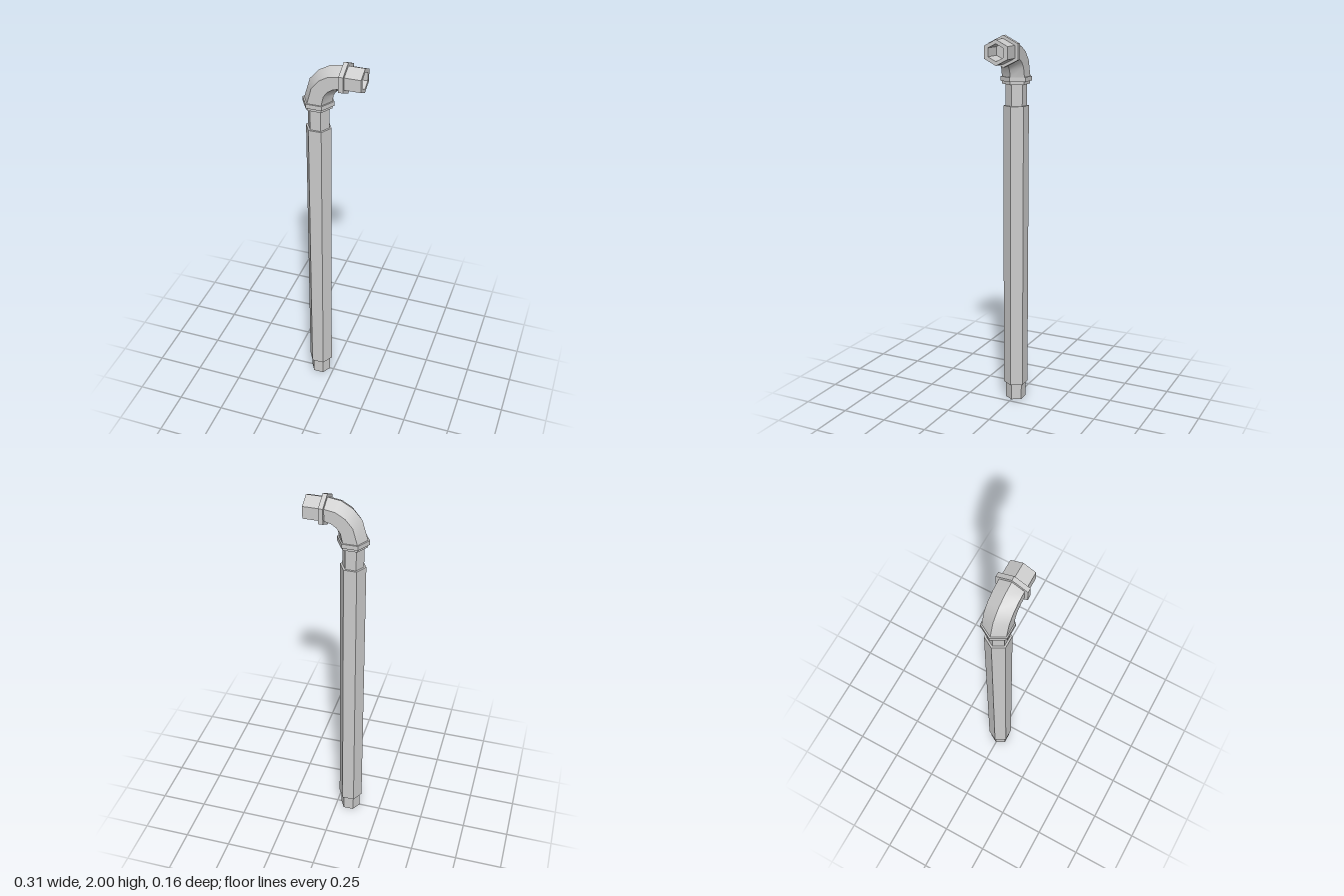
import * as THREE from 'three';
import { toCreasedNormals } from 'three/addons/utils/BufferGeometryUtils.js';

const PIPE_X = -0.077;   // axis of the upright
const OUTLET_Y = 1.92;   // axis of the outlet
const SIDES = 6;

const flat = new THREE.MeshStandardMaterial({ color: 0xcccccc, flatShading: true });
const creased = new THREE.MeshStandardMaterial({ color: 0xcccccc });

// Six-sided turned part from [radius, height] points, with corners on the x axis
function hexPart(name, profile) {
  const points = profile.map(([r, y]) => new THREE.Vector2(r, y));
  const mesh = new THREE.Mesh(new THREE.LatheGeometry(points, SIDES, Math.PI / 2), flat);
  mesh.name = name;
  return mesh;
}

// Solid six-sided prism
const hexPrism = (name, r, y0, y1) => hexPart(name, [[0, y0], [r, y0], [r, y1], [0, y1]]);

// Quarter bend lofted through hexagonal rings, from the upright to the outlet
function elbowGeometry() {
  const angles = [0, 30, 50, 70, 90].map(THREE.MathUtils.degToRad);
  const endX = 0.05, startY = 1.785;
  const positions = [], index = [];
  angles.forEach((a) => {
    const t = a / (Math.PI / 2);
    const cx = endX - (endX - PIPE_X) * Math.cos(a);
    const cy = startY + (OUTLET_Y - startY) * Math.sin(a);
    const radius = THREE.MathUtils.lerp(0.072, 0.0635, t);
    for (let i = 0; i < SIDES; i++) {
      const p = (i / SIDES) * Math.PI * 2;
      const out = radius * Math.cos(p);
      const side = (0.0635 / Math.sin(Math.PI / 3)) * Math.sin(p);
      positions.push(cx - out * Math.cos(a), cy + out * Math.sin(a), side);
    }
  });
  for (let r = 0; r < angles.length - 1; r++) {
    for (let i = 0; i < SIDES; i++) {
      const a = r * SIDES + i, b = r * SIDES + ((i + 1) % SIDES);
      index.push(a, b, b + SIDES, a, b + SIDES, a + SIDES);
    }
  }
  const geometry = new THREE.BufferGeometry();
  geometry.setAttribute('position', new THREE.Float32BufferAttribute(positions, 3));
  geometry.setIndex(index);
  return toCreasedNormals(geometry, THREE.MathUtils.degToRad(26));
}

export function createModel() {
  const model = new THREE.Group();
  model.name = 'pipe';

  // Upright: inner pipe with an open lower end, inside a thicker sleeve
  const upright = new THREE.Group();
  upright.name = 'upright';
  upright.position.x = PIPE_X;
  upright.add(
    hexPart('innerPipe', [[0, 0.1], [0.038, 0.1], [0.038, 0], [0.055, 0], [0.055, 1.76]]),
    hexPrism('sleeve', 0.066, 0.09, 1.635),
    hexPrism('lowerLip', 0.072, 1.747, 1.765),
    hexPrism('lowerFlange', 0.081, 1.762, 1.785),
  );

  const elbow = new THREE.Mesh(elbowGeometry(), creased);
  elbow.name = 'elbow';

  // Outlet: flange and hollow socket laid along x, widened in z
  const outlet = new THREE.Group();
  outlet.name = 'outlet';
  outlet.position.y = OUTLET_Y;
  outlet.rotation.z = -Math.PI / 2;
  outlet.scale.z = 1.16;
  outlet.add(
    hexPrism('outletFlange', 0.08, 0.05, 0.073),
    hexPart('socket', [[0.0635, 0.06], [0.0635, 0.155], [0.043, 0.155], [0.043, 0.06], [0, 0.06]]),
  );
  // Open the flange so the socket bore runs through it
  const flange = outlet.children[0];
  flange.geometry.dispose();
  flange.geometry = hexPart('', [[0.0635, 0.05], [0.08, 0.05], [0.08, 0.073], [0.0635, 0.073]]).geometry;

  model.add(upright, elbow, outlet);
  return model;
}
